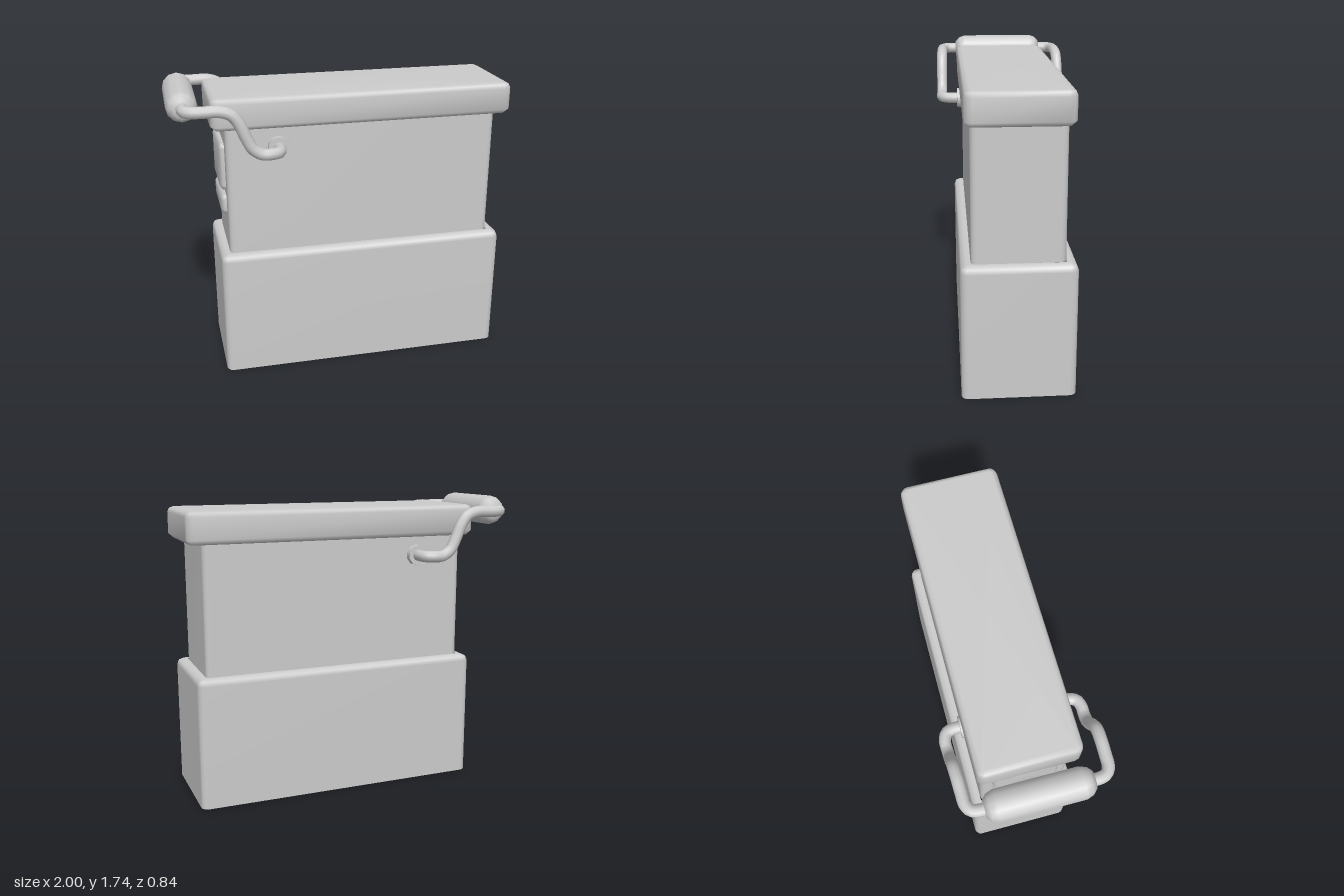
import * as THREE from 'three';

const grey = new THREE.MeshStandardMaterial({ color: 0xcccccc, side: THREE.DoubleSide });

// Rounded rectangle lofted upward through rings of [y, inset]; ends may be closed.
function loft(w, d, r, rings, capTop = false, capBottom = false) {
  const pos = [], index = [], steps = 3, n = 4 * (steps + 1);
  for (const [y, inset] of rings) {
    const cr = Math.max(r - inset, 0.012);
    for (let c = 0; c < 4; c++) {
      const sx = c === 0 || c === 3 ? 1 : -1, sz = c < 2 ? 1 : -1;
      for (let s = 0; s <= steps; s++) {
        const a = (c + s / steps) * Math.PI / 2;
        pos.push(sx * (w / 2 - inset - cr) + cr * Math.cos(a), y, sz * (d / 2 - inset - cr) + cr * Math.sin(a));
      }
    }
  }
  for (let i = 0; i < rings.length - 1; i++) {
    for (let j = 0; j < n; j++) {
      const a = i * n + j, b = i * n + (j + 1) % n;
      index.push(a, a + n, b, b, a + n, b + n);
    }
  }
  const cap = (ring, up) => {
    const centre = pos.length / 3, o = ring * n;
    pos.push(0, rings[ring][0], 0);
    for (let j = 0; j < n; j++) {
      const a = o + j, b = o + (j + 1) % n;
      index.push(centre, up ? b : a, up ? a : b);
    }
  };
  if (capTop) cap(rings.length - 1, true);
  if (capBottom) cap(0, false);
  const g = new THREE.BufferGeometry();
  g.setAttribute('position', new THREE.Float32BufferAttribute(pos, 3));
  g.setIndex(index);
  g.computeVertexNormals();
  return g;
}

export function createModel() {
  const model = new THREE.Group();
  model.name = 'container';
  const add = (name, geometry, x = 0, y = 0, z = 0) => {
    const mesh = new THREE.Mesh(geometry, grey);
    mesh.name = name;
    mesh.position.set(x, y, z);
    model.add(mesh);
    return mesh;
  };

  // Hollow lower box with a chamfered shoulder, open underneath
  add('base', loft(1.72, 0.63, 0.04, [[0, 0], [0.725, 0], [0.75, 0.01], [0.762, 0.035], [0.762, 0.06]]), 0.112);

  // Narrower upper walls
  add('body', loft(1.6, 0.51, 0.035, [[0.762, 0], [1.53, 0]]), 0.11);

  // Chamfered lid
  add('lid', loft(1.765, 0.57, 0.045,
    [[1.508, 0.03], [1.535, 0], [1.66, 0], [1.682, 0.01], [1.692, 0.035]], true, true), 0.116);

  // Two raised pads on the handle end
  for (const [name, y, h] of [['largePad', 1.27, 0.28], ['smallPad', 1.04, 0.12]]) {
    const g = loft(h, 0.37, 0.03, [[0, 0], [0.018, 0], [0.034, 0.02]], true);
    g.rotateZ(Math.PI / 2);
    add(name, g, -0.688, y, 0);
  }

  // Grip: a tapered roller across the end
  const grip = [[0, -0.29], [0.05, -0.287], [0.075, -0.262], [0.088, -0.225],
    [0.088, 0.225], [0.075, 0.262], [0.05, 0.287], [0, 0.29]].map(p => new THREE.Vector2(...p));
  add('grip', new THREE.LatheGeometry(grip, 12).rotateX(Math.PI / 2), -0.912, 1.652, 0);

  // Pivots and S-shaped arms, mirrored front and back
  for (const s of [1, -1]) {
    const side = s > 0 ? 'front' : 'back';
    const knob = new THREE.CylinderGeometry(0.062, 0.062, 0.045, 10).rotateX(Math.PI / 2);
    add(side + 'Pivot', knob, -0.39, 1.4, s * 0.269);

    const path = [
      [-0.39, 1.4, 0.26], [-0.39, 1.4, 0.33], [-0.405, 1.4, 0.37], [-0.445, 1.4, 0.388],
      [-0.5, 1.402, 0.388], [-0.55, 1.435, 0.387], [-0.585, 1.5, 0.386], [-0.62, 1.58, 0.385],
      [-0.66, 1.632, 0.384], [-0.72, 1.654, 0.382], [-0.8, 1.655, 0.38], [-0.865, 1.655, 0.376],
      [-0.9, 1.655, 0.355], [-0.912, 1.655, 0.32], [-0.912, 1.655, 0.26],
    ].map(([x, y, z]) => new THREE.Vector3(x, y, s * z));
    add(side + 'Arm', new THREE.TubeGeometry(new THREE.CatmullRomCurve3(path), 48, 0.034, 10));
  }
  return model;
}
